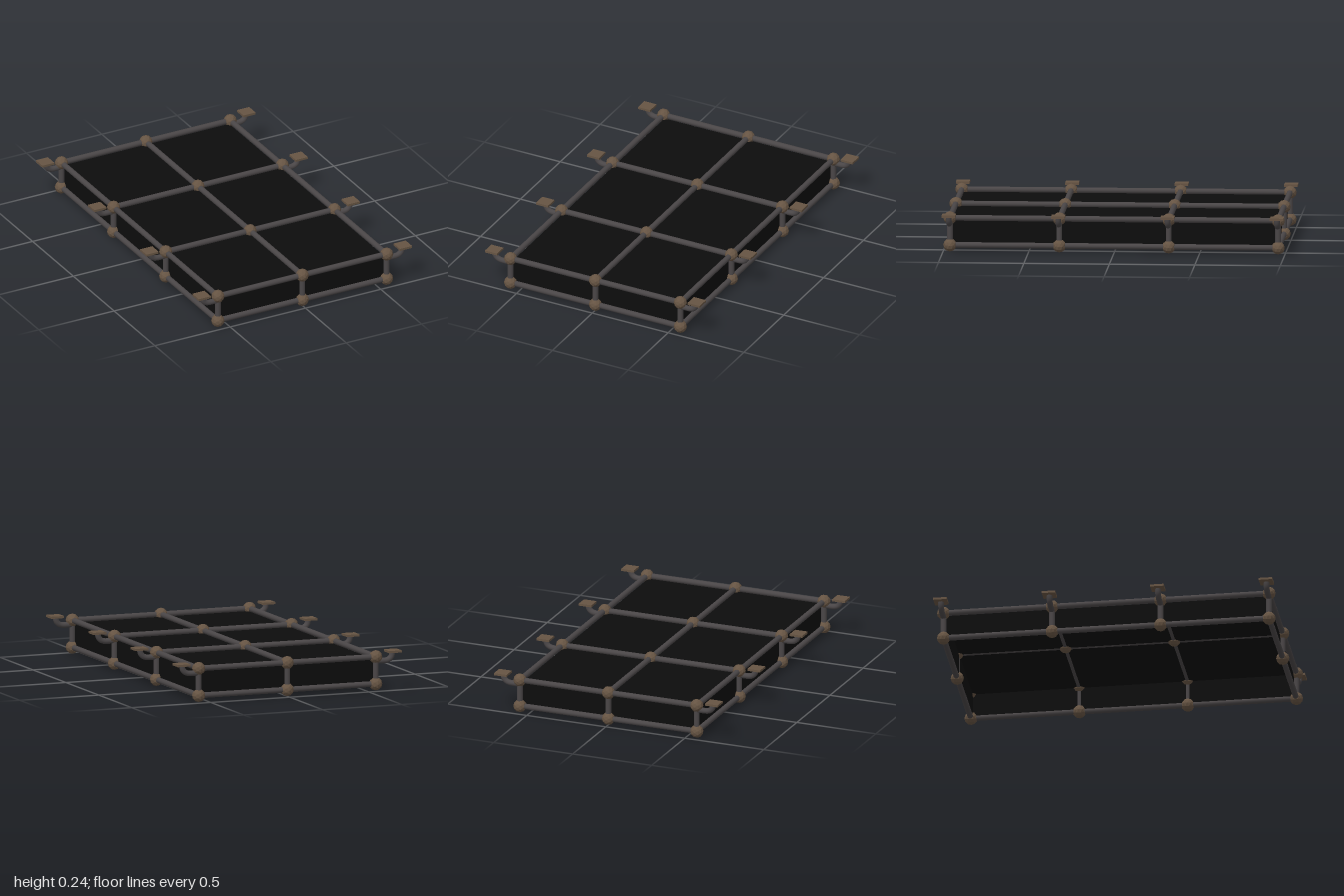
import * as THREE from 'three';

export function createModel() {
  const model = new THREE.Group();
  const material = (name, color, extra = {}) =>
    Object.assign(new THREE.MeshStandardMaterial({ color, ...extra }), { name });
  const pipeMat = material('dark grey pipe', 0x4a4647);
  const jointMat = material('bronze brown', 0x665443, { flatShading: true });
  const panelMat = material('black panel', 0x0d0d0d, { side: THREE.DoubleSide });

  const X = 0.56, Z = 0.96, LOW = 0.04, HIGH = 0.2, R = 0.017;
  const xs = [-X, 0, X];
  const zs = [-Z, -Z / 3, Z / 3, Z];

  const add = (geometry, mat, name, x = 0, y = 0, z = 0) => {
    const mesh = new THREE.Mesh(geometry, mat);
    mesh.name = name;
    mesh.position.set(x, y, z);
    model.add(mesh);
    return mesh;
  };
  const pipe = (axis, length, name, x, y, z) => {
    const mesh = add(new THREE.CylinderGeometry(R, R, length, 12), pipeMat, name, x, y, z);
    if (axis === 'x') mesh.rotation.z = Math.PI / 2;
    if (axis === 'z') mesh.rotation.x = Math.PI / 2;
  };

  // Roof grid and the lower perimeter
  for (const x of xs) pipe('z', 2 * Z, 'roofLongBar', x, HIGH, 0);
  for (const z of zs) pipe('x', 2 * X, 'roofCrossBar', 0, HIGH, z);
  for (const x of [-X, X]) pipe('z', 2 * Z, 'lowerSideBar', x, LOW, 0);
  for (const z of [-Z, Z]) pipe('x', 2 * X, 'lowerEndBar', 0, LOW, z);

  // Faceted joints everywhere on the roof, joints and posts around the rim
  const jointGeo = new THREE.IcosahedronGeometry(0.039, 1);
  for (const x of xs) for (const z of zs) {
    add(jointGeo, jointMat, 'roofJoint', x, HIGH, z);
    if (x === 0 && Math.abs(z) < Z) continue;
    add(jointGeo, jointMat, 'lowerJoint', x, LOW, z);
    pipe('y', HIGH - LOW, 'post', x, (HIGH + LOW) / 2, z);
  }

  // Curved brackets with square mounting plates
  for (const side of [-1, 1]) {
    const p = (x, y) => new THREE.Vector3(side * x, y, 0);
    const path = new THREE.CurvePath();
    path.add(new THREE.LineCurve3(p(X, 0.174), p(0.61, 0.174)));
    path.add(new THREE.CubicBezierCurve3(p(0.61, 0.174), p(0.645, 0.174), p(0.665, 0.19), p(0.665, 0.225)));
    const hookGeo = new THREE.TubeGeometry(path, 16, R, 10);
    const plateGeo = new THREE.BoxGeometry(0.08, 0.013, 0.08);
    for (const z of zs) {
      add(hookGeo, pipeMat, 'bracketArm', 0, 0, z);
      add(plateGeo, jointMat, 'mountingPlate', side * 0.668, 0.228, z);
    }
  }

  // Roof and wall panels just inside the frame, open underneath
  const inset = 0.013, top = HIGH - inset;
  const px = X - inset, pz = Z - inset;
  const wallH = top - LOW, wallY = (top + LOW) / 2;
  add(new THREE.PlaneGeometry(2 * px, 2 * pz), panelMat, 'roofPanel', 0, top, 0).rotation.x = -Math.PI / 2;
  for (const s of [-1, 1]) {
    add(new THREE.PlaneGeometry(2 * px, wallH), panelMat, 'endPanel', 0, wallY, s * pz)
      .rotation.y = s > 0 ? 0 : Math.PI;
    add(new THREE.PlaneGeometry(2 * pz, wallH), panelMat, 'sidePanel', s * px, wallY, 0)
      .rotation.y = s * Math.PI / 2;
  }
  return model;
}
